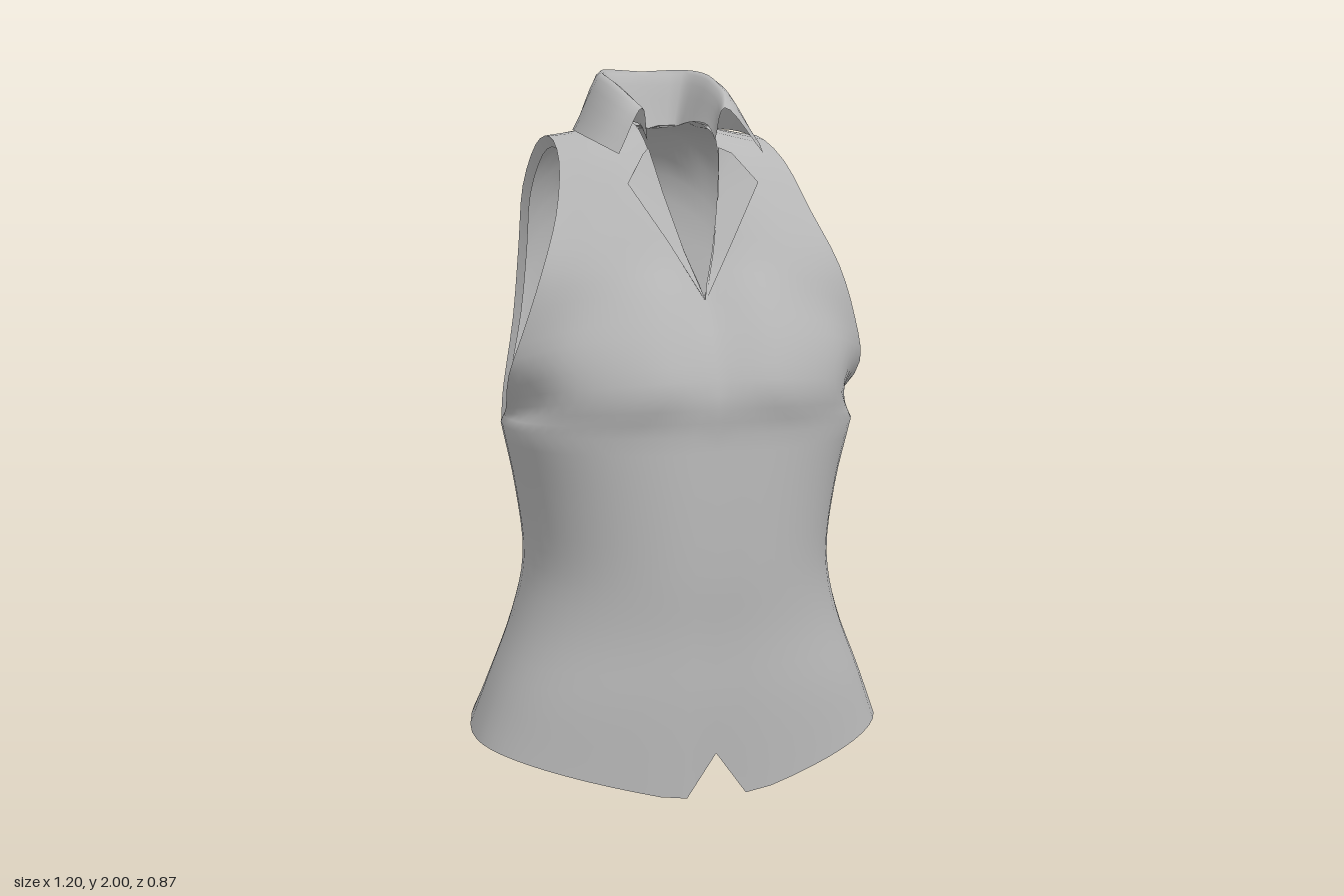
import * as THREE from 'three';
import { mergeGeometries, mergeVertices } from 'three/addons/utils/BufferGeometryUtils.js';

const N = 16; // columns in each quarter of the garment
const V = (p) => new THREE.Vector3(...p);
const lerp = THREE.MathUtils.lerp;
const cloth = new THREE.MeshStandardMaterial({ color: 0xb8b8b8, side: THREE.DoubleSide });
cloth.name = 'grey cloth';

// Smooth curve through points, sampled into n segments
function sample(points, n) {
  const curve = new THREE.CatmullRomCurve3(points);
  return Array.from({ length: n + 1 }, (_, i) => curve.getPoint(i / n));
}

// Smooth the rows of a grid along each column
function loft(rows, steps) {
  const columns = rows[0].map((_, j) => sample(rows.map((r) => r[j]), (rows.length - 1) * steps));
  return columns[0].map((_, i) => columns.map((c) => c[i]));
}

// Triangles of a grid of points on the +x side, and their mirror on the -x side
function sheet(grid) {
  const pos = [];
  const tri = (a, b, c) => {
    for (const p of [a, b, c]) pos.push(Math.max(p.x, 0), p.y, p.z);
    for (const p of [a, c, b]) pos.push(-Math.max(p.x, 0), p.y, p.z);
  };
  for (let i = 0; i < grid.length - 1; i++) {
    for (let j = 0; j < grid[i].length - 1; j++) {
      const a = grid[i][j], b = grid[i][j + 1], c = grid[i + 1][j + 1], d = grid[i + 1][j];
      tri(a, b, c);
      tri(a, c, d);
    }
  }
  const g = new THREE.BufferGeometry();
  g.setAttribute('position', new THREE.Float32BufferAttribute(pos, 3));
  return g;
}

function part(name, ...sheets) {
  const geometry = mergeVertices(mergeGeometries(sheets), 1e-4);
  geometry.computeVertexNormals();
  const mesh = new THREE.Mesh(geometry, cloth);
  mesh.name = name;
  return mesh;
}

// Half cross-section from centre front round the side to centre back
const SIDE = 1.908;
function ring([y, w, zFront, zBack, zMid]) {
  return Array.from({ length: 2 * N + 1 }, (_, i) => {
    const a = i <= N ? (SIDE * i) / N : lerp(SIDE, Math.PI, (i - N) / N);
    const s = i === 2 * N ? 0 : Math.pow(Math.sin(a), 0.91);
    const c = Math.sign(Math.cos(a)) * Math.pow(Math.abs(Math.cos(a)), 0.91);
    const x = w * s;
    const dip = Math.exp(-((x / 0.08) ** 2)) * (c > 0 ? -0.01 : 0.025);
    return new THREE.Vector3(x, y, zMid + c * (c > 0 ? zFront - zMid : zMid - zBack) + dip);
  });
}

// Height of the hem: notch in front, dipping shirt tails, higher behind
function hemHeight(p, i) {
  if (i === 0) return 0.12;
  if (i === 2 * N) return 0.145;
  if (p.z > 0.07) return 0.12 * Math.max(0, (p.x - 0.12) / 0.48);
  return lerp(0.12, 0.165, THREE.MathUtils.smoothstep(-p.z, 0, 0.25));
}

export function createModel() {
  const model = new THREE.Group();
  model.name = 'sleevelessShirt';

  // Torso below the armholes: height, half width, front z, back z, side z
  const rings = [
    [0, 0.6, 0.425, -0.44, 0.07],
    [0.26, 0.548, 0.43, -0.4, 0.06],
    [0.45, 0.475, 0.428, -0.345, 0.05],
    [0.62, 0.44, 0.435, -0.31, 0.05],
    [0.82, 0.462, 0.435, -0.328, 0.06],
    [1.01, 0.505, 0.43, -0.375, 0.09],
  ].map(ring);
  rings[0].forEach((p, i) => { p.y = hemHeight(p, i); });
  const torso = loft(rings, 4);
  const top = rings[rings.length - 1];

  // Chest, shoulder and back: each row runs from centre or neck edge to the armhole
  const front = [
    [[0, 1.12, 0.43], [0.19, 1.12, 0.435], [0.4, 1.1, 0.32], [0.5, 1.06, 0.06]],
    [[0, 1.25, 0.385], [0.18, 1.24, 0.405], [0.39, 1.22, 0.32], [0.52, 1.17, 0.18]],
    [[0, 1.37, 0.315], [0.15, 1.37, 0.345], [0.34, 1.34, 0.3], [0.485, 1.3, 0.22]],
    [[0.04, 1.5, 0.255], [0.15, 1.48, 0.28], [0.29, 1.46, 0.27], [0.435, 1.45, 0.22]],
    [[0.08, 1.66, 0.185], [0.16, 1.64, 0.2], [0.26, 1.62, 0.185], [0.375, 1.6, 0.15]],
    [[0.105, 1.8, 0.1], [0.18, 1.785, 0.08], [0.25, 1.77, 0.06], [0.335, 1.74, 0.04]],
  ];
  const back = [
    [[0.095, 1.85, -0.05], [0.18, 1.83, -0.09], [0.25, 1.818, -0.12], [0.315, 1.81, -0.14]],
    [[0.085, 1.84, -0.17], [0.18, 1.825, -0.23], [0.25, 1.81, -0.25], [0.32, 1.785, -0.27]],
    [[0, 1.83, -0.195], [0.1, 1.81, -0.27], [0.23, 1.75, -0.345], [0.335, 1.66, -0.37]],
    [[0, 1.7, -0.36], [0.14, 1.68, -0.395], [0.26, 1.6, -0.41], [0.34, 1.49, -0.405]],
    [[0, 1.45, -0.4], [0.14, 1.43, -0.425], [0.28, 1.36, -0.415], [0.365, 1.27, -0.385]],
    [[0, 1.22, -0.38], [0.17, 1.2, -0.405], [0.32, 1.15, -0.375], [0.42, 1.08, -0.29]],
  ];
  const yoke = loft([
    top.slice(0, N + 1),
    ...[...front, ...back].map((r) => sample(r.map(V), N)),
    top.slice(N).reverse(),
  ], 3);
  model.add(part('body', sheet(torso), sheet(yoke)));

  // Turned-in band round each armhole
  const edge = yoke.map((r) => r[N]);
  const centre = new THREE.Vector3(0, 1.41, -0.1);
  const band = edge.map((p) => {
    const inward = new THREE.Vector3(0, centre.y - p.y, centre.z - p.z).setLength(0.033);
    return [p, p.clone().add(inward).add(new THREE.Vector3(-0.018, 0, 0))];
  });
  model.add(part('armholeBands', sheet(band)));

  // Collar: neck seam, fold and lower edge, from the front points to centre back
  const collar = [
    [[0.1, 1.8, 0.11], [0.12, 1.89, 0.13], [0.21, 1.765, 0.2]],
    [[0.1, 1.84, 0.05], [0.145, 1.93, 0.06], [0.243, 1.8, 0.06]],
    [[0.095, 1.85, -0.05], [0.155, 1.965, -0.04], [0.245, 1.822, -0.1]],
    [[0.09, 1.845, -0.13], [0.155, 1.99, -0.15], [0.215, 1.828, -0.23]],
    [[0.075, 1.835, -0.18], [0.12, 2, -0.235], [0.125, 1.828, -0.32]],
    [[0, 1.83, -0.195], [0, 1.995, -0.26], [0, 1.83, -0.33]],
  ].map((r) => sample(r.map(V), 10));
  model.add(part('collar', sheet(loft(collar, 3))));

  // Lapels folded back along the open neck, with their edges meeting the chest
  const lapel = [
    [[0, 1.37, 0.318], [0.002, 1.37, 0.318]],
    [[0.042, 1.5, 0.26], [0.095, 1.53, 0.275]],
    [[0.081, 1.66, 0.19], [0.19, 1.685, 0.215]],
    [[0.103, 1.78, 0.13], [0.13, 1.765, 0.165]],
  ].map((r) => r.map(V));
  const lapelEdge = lapel.map(([, o]) => [o, o.clone().add(new THREE.Vector3(-0.008, 0, -0.025))]);
  model.add(part('lapels', sheet(lapel)), part('lapelEdges', sheet(lapelEdge)));

  return model;
}
